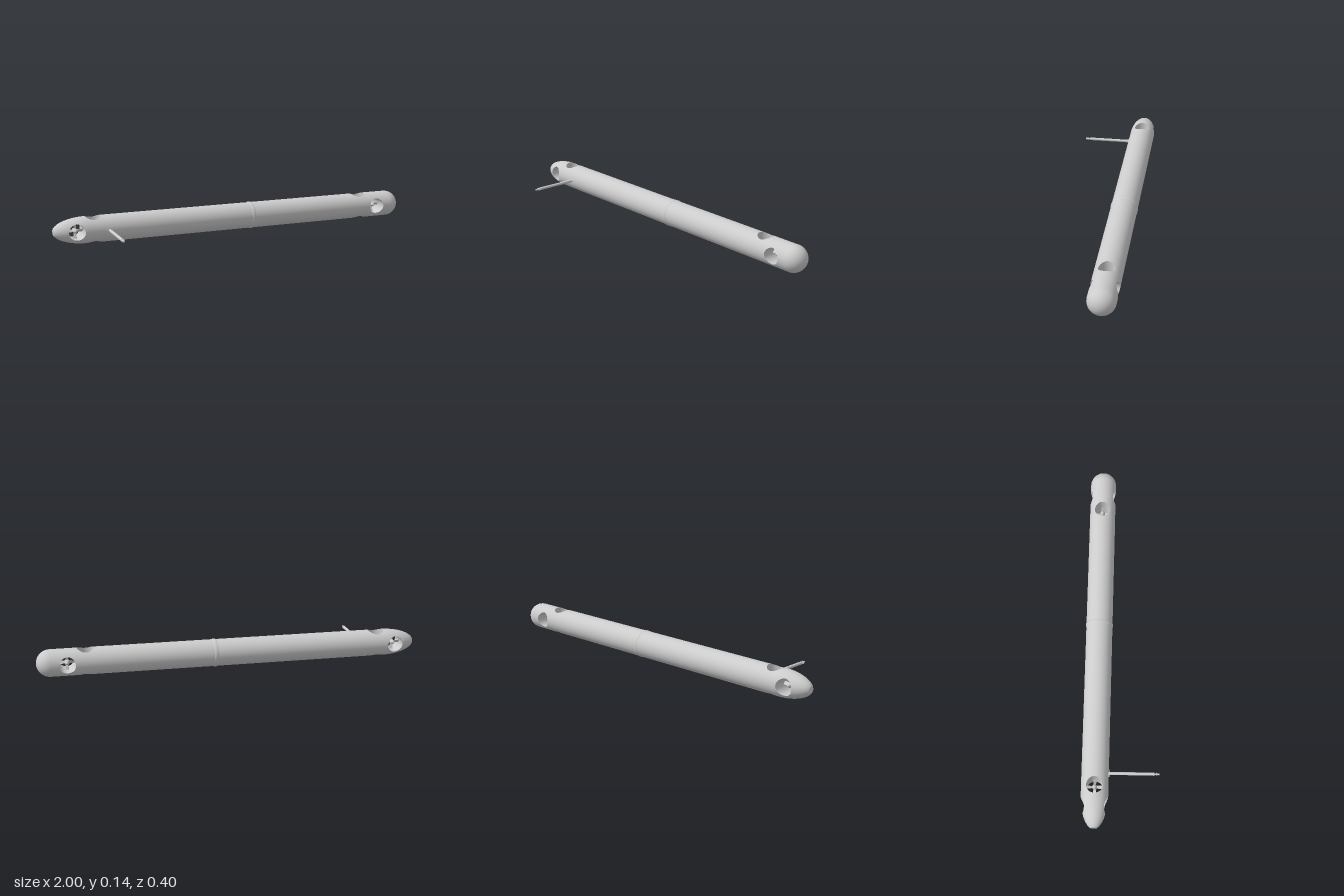
import * as THREE from 'three';

const AXIS_Y = 0.0725, AXIS_Z = -0.1275;
const R0 = 0.07;          // hull radius
const HOLE = 0.042;       // tunnel radius
const HALF = 0.0475;      // half length of a hull section that holds a tunnel

// Hull radius along x: elliptical nose, straight middle, round tail
function radius(x) {
  if (x < -0.83) return R0 * Math.sqrt(Math.max(0, 1 - ((-0.83 - x) / 0.175) ** 2));
  if (x > 0.93) return R0 * Math.sqrt(Math.max(0, 1 - ((x - 0.93) / 0.07) ** 2));
  return R0;
}

// Point and normal of the hull skin
function skin(x, th) {
  const e = 1e-5, slope = (radius(x + e) - radius(x - e)) / (2 * e), r = radius(x);
  return {
    p: new THREE.Vector3(x, r * Math.cos(th), r * Math.sin(th)),
    n: new THREE.Vector3(-slope, Math.cos(th), Math.sin(th)).normalize(),
  };
}

// Surface grid from a rule f(u, v) giving point and normal
function grid(f, nu, nv) {
  const pos = [], nor = [], idx = [];
  for (let j = 0; j <= nv; j++) {
    for (let i = 0; i <= nu; i++) {
      const { p, n } = f(i / nu, j / nv);
      pos.push(p.x, p.y, p.z);
      nor.push(n.x, n.y, n.z);
      if (i < nu && j < nv) {
        const a = j * (nu + 1) + i, b = a + 1, c = a + nu + 1, d = c + 1;
        idx.push(a, b, d, a, d, c);
      }
    }
  }
  const g = new THREE.BufferGeometry();
  g.setAttribute('position', new THREE.Float32BufferAttribute(pos, 3));
  g.setAttribute('normal', new THREE.Float32BufferAttribute(nor, 3));
  g.setIndex(idx);
  return g;
}

// Point on the edge of the square [-1, 1], counter-clockwise from (1, -1)
function squareEdge(u) {
  const s = (u * 4) % 4, k = Math.floor(s), t = (s - k) * 2 - 1;
  return [[1, t], [-t, 1], [-1, -t], [t, -1]][k];
}

export function createModel() {
  const grey = new THREE.MeshStandardMaterial({ color: 0xcccccc });
  grey.name = 'light grey';
  const model = new THREE.Group();
  model.name = 'underwaterVehicle';
  const craft = new THREE.Group();
  craft.name = 'craft';
  craft.position.set(0, AXIS_Y, AXIS_Z);
  model.add(craft);

  const add = (name, geo, parent = craft) => {
    const m = new THREE.Mesh(geo, grey);
    m.name = name;
    parent.add(m);
    return m;
  };

  // Closed hull sections
  const hull = (name, x0, x1, nv, ease) =>
    add(name, grid((u, v) => skin(x0 + (x1 - x0) * ease(v), u * Math.PI * 2), 48, nv));
  hull('nose', -1, -0.935, 12, v => 1 - Math.cos(v * Math.PI / 2));
  hull('midBody', -0.745, 0.7025, 1, v => v);
  hull('tail', 0.8925, 1, 16, v => Math.sin(v * Math.PI / 2));
  add('noseCap', new THREE.CircleGeometry(radius(-1), 48).rotateY(-Math.PI / 2)).position.x = -1;

  // Hull section with a thruster tunnel straight through it
  function tunnel(name, c, turn) {
    const group = new THREE.Group();
    group.name = name;
    craft.add(group);
    for (const side of [0, Math.PI]) {
      add('tunnelSkin', grid((u, v) => {
        const [sx, st] = squareEdge(u);
        const a = Math.atan2(st, sx);
        const hx = c + HOLE * Math.cos(a);
        const ht = Math.asin(HOLE * Math.sin(a) / radius(hx));
        const x = THREE.MathUtils.lerp(hx, c + HALF * sx, v);
        return skin(x, turn + side + THREE.MathUtils.lerp(ht, st * Math.PI / 2, v));
      }, 96, 10), group);
    }
    const d = new THREE.Vector3(0, Math.cos(turn), Math.sin(turn));
    const e = new THREE.Vector3(0, -Math.sin(turn), Math.cos(turn));
    add('tunnelWall', grid((u, v) => {
      const [sx, st] = squareEdge(u);
      const a = Math.atan2(st, sx), x = c + HOLE * Math.cos(a), w = HOLE * Math.sin(a);
      const h = Math.sqrt(radius(x) ** 2 - w * w) * (2 * v - 1);
      return {
        p: new THREE.Vector3(x, 0, 0).addScaledVector(d, h).addScaledVector(e, w),
        n: new THREE.Vector3(-Math.cos(a), 0, 0).addScaledVector(e, -Math.sin(a)),
      };
    }, 96, 2), group);

    // Propeller: pointed hub and pitched blades
    const fan = new THREE.Group();
    fan.name = 'propeller';
    fan.position.x = c;
    fan.rotation.x = turn;
    group.add(fan);
    const hub = [[0, -0.03], [0.007, -0.026], [0.012, -0.015], [0.012, 0.015], [0.007, 0.026], [0, 0.03]];
    add('hub', new THREE.LatheGeometry(hub.map(q => new THREE.Vector2(...q)), 20), fan);
    for (let i = 0; i < 4; i++) {
      const blade = new THREE.BoxGeometry(0.034, 0.002, 0.014);
      const p = blade.attributes.position;
      for (let k = 0; k < p.count; k++) if (p.getX(k) > 0) p.setZ(k, p.getZ(k) * 1.4);
      blade.rotateX(0.6).translate(0.025, 0, 0).rotateY(i * Math.PI / 2);
      blade.computeVertexNormals();
      add('blade', blade, fan);
    }
  }
  tunnel('frontSideTunnel', -0.8875, Math.PI / 2);
  tunnel('frontVerticalTunnel', -0.7925, 0);
  tunnel('rearVerticalTunnel', 0.75, 0);
  tunnel('rearSideTunnel', 0.845, Math.PI / 2);

  // Raised joint ring around the middle
  const ring = [[0.0695, -0.011], [0.0725, -0.006], [0.0725, 0.006], [0.0695, 0.011]];
  add('jointRing', new THREE.LatheGeometry(ring.map(q => new THREE.Vector2(...q)), 48).rotateZ(Math.PI / 2))
    .position.x = 0.085;

  // Antenna mast pointing out of the front side
  const mast = new THREE.Group();
  mast.name = 'mast';
  mast.position.set(-0.72, 0, 0);
  mast.rotation.x = Math.PI / 2;
  craft.add(mast);
  const foot = add('mastFoot', new THREE.CylinderGeometry(0.008, 0.008, 0.014, 24), mast);
  foot.position.y = 0.067;
  foot.scale.x = 2.5;
  add('mastRod', new THREE.CylinderGeometry(0.008, 0.008, 0.24, 20), mast).position.y = 0.1825;
  add('mastNeck', new THREE.CylinderGeometry(0.004, 0.004, 0.014, 16), mast).position.y = 0.308;
  add('mastCone', new THREE.CylinderGeometry(0.005, 0.009, 0.007, 16), mast).position.y = 0.315;
  add('mastTip', new THREE.CylinderGeometry(0.005, 0.005, 0.01, 16), mast).position.y = 0.3225;

  return model;
}
